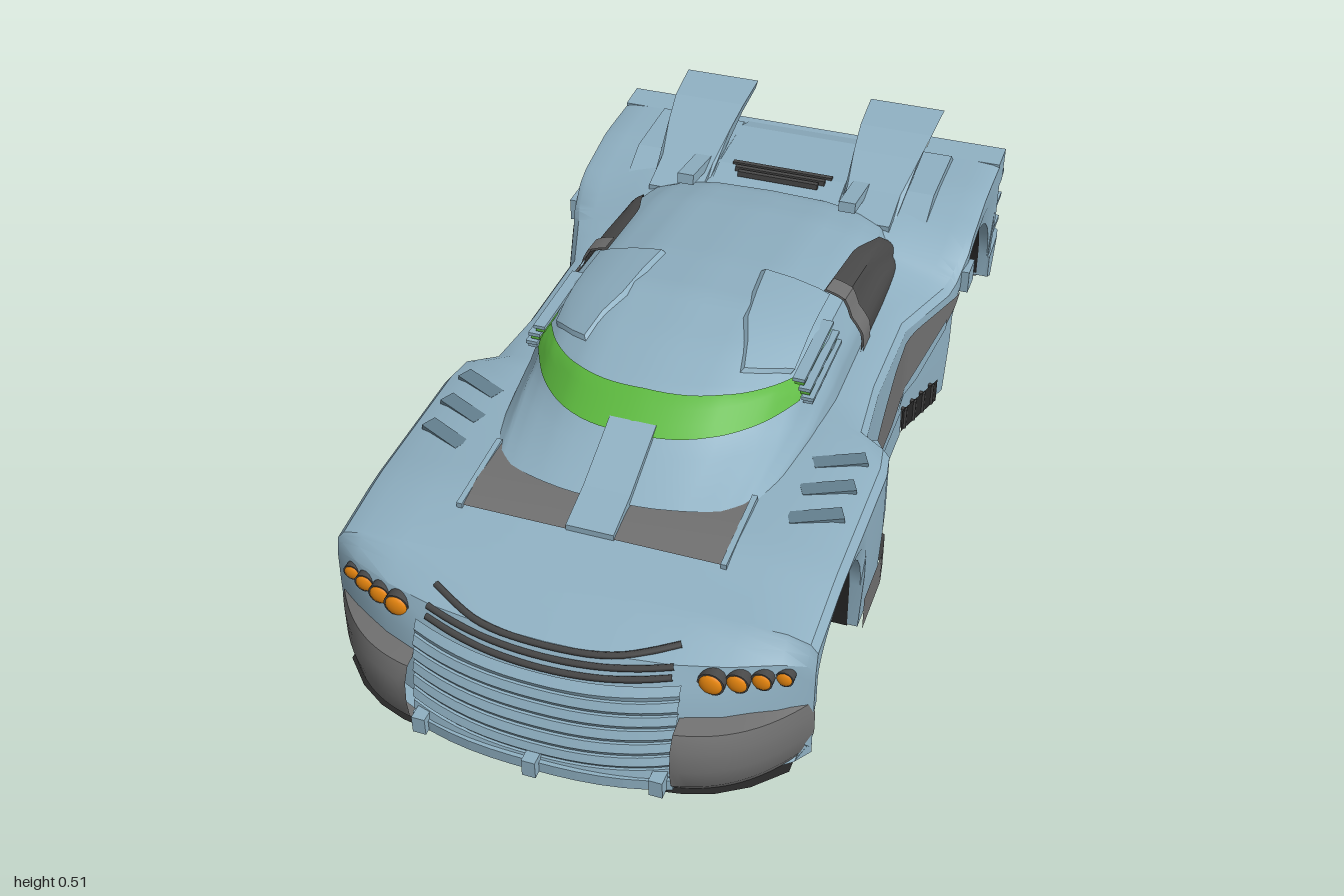
import * as THREE from 'three';
import { toCreasedNormals } from 'three/addons/utils/BufferGeometryUtils.js';

const paint = (color) => new THREE.MeshStandardMaterial({ color, side: THREE.DoubleSide });
const BLUE = paint(0x8fb0c2), SHADE = paint(0x64808f), GREY = paint(0x707070), DARK = paint(0x484848),
  BLACK = paint(0x262626), GREEN = paint(0x5cb83e), AMBER = paint(0xee8a10), RED = paint(0xd03a3a);

// Linear lookup in a table of [key, value] with rising keys
function look(table, k) {
  if (k <= table[0][0]) return table[0][1];
  for (let i = 1; i < table.length; i++) {
    const [a, va] = table[i - 1], [b, vb] = table[i];
    if (k <= b) return va + (vb - va) * (k - a) / (b - a);
  }
  return table[table.length - 1][1];
}

// Skin through rings of points; rings run anticlockwise seen from +z, ordered by rising z
function loft(rings, closed = false) {
  const pos = [], n = rings[0].length;
  const tri = (...p) => p.forEach((q) => pos.push(...q));
  for (let i = 0; i + 1 < rings.length; i++) {
    for (let j = 0; j < (closed ? n : n - 1); j++) {
      const k = (j + 1) % n, a = rings[i], b = rings[i + 1];
      tri(a[j], a[k], b[j]);
      tri(a[k], b[k], b[j]);
    }
  }
  if (closed) [rings[0], rings[rings.length - 1]].forEach((r, end) => {
    const c = [0, 1, 2].map((d) => r.reduce((s, p) => s + p[d], 0) / n);
    for (let j = 0; j < n; j++) end ? tri(c, r[j], r[(j + 1) % n]) : tri(c, r[(j + 1) % n], r[j]);
  });
  const g = new THREE.BufferGeometry();
  g.setAttribute('position', new THREE.Float32BufferAttribute(pos, 3));
  return toCreasedNormals(g, 0.5);
}
const range = (a, b, n) => Array.from({ length: n + 1 }, (_, i) => a + (b - a) * i / n);
const patch = (us, vs, f) => loft(us.map((u) => vs.map((v) => f(u, v))));
const box = (w, h, d, x, y, z, rx = 0, ry = 0) =>
  new THREE.BoxGeometry(w, h, d).rotateX(rx).rotateY(ry).translate(x, y, z);
// Side profile of [z, y] points, extruded from x0 to x1
function sideExtrude(pts, x0, x1) {
  const shape = new THREE.Shape(pts.map(([z, y]) => new THREE.Vector2(-z, y)));
  return new THREE.ExtrudeGeometry(shape, { depth: x1 - x0, bevelEnabled: false }).rotateY(Math.PI / 2).translate(x0, 0, 0);
}
function mirrored(geo) {
  const g = geo.index ? geo.toNonIndexed() : geo.clone();
  g.scale(-1, 1, 1);
  for (const a of Object.values(g.attributes)) for (let i = 0; i < a.count; i += 3) for (let c = 0; c < a.itemSize; c++) {
    const t = a.getComponent(i + 1, c);
    a.setComponent(i + 1, c, a.getComponent(i + 2, c));
    a.setComponent(i + 2, c, t);
  }
  return g;
}

// Hull rules: half width, shoulder height, centre height, underside and nose bow
const WIDTH = [[-0.52, 0.49], [-0.45, 0.48], [-0.25, 0.41], [0, 0.41], [0.16, 0.425], [0.2, 0.485], [0.26, 0.495]];
const NOSE = [[0.765, 0.298], [0.89, 0.258], [0.93, 0.19], [0.96, 0.06]];
const SHOULDER = [[-0.7, 0.41], [-0.55, 0.38], [-0.42, 0.325], [0.2, 0.325], [0.6, 0.32], ...NOSE];
const CENTRE = [[-0.6, 0.41], [-0.5, 0.4], [-0.3, 0.33], [0.2, 0.33], [0.6, 0.337], ...NOSE];
const ARCHES = [{ c: 0.585, r: 0.175, y: 0.12, h: 0.165 }, { c: -0.647, r: 0.203, y: 0.14, h: 0.185 }];
function underside(z) {
  for (const a of ARCHES) {
    const t = (z - a.c) / a.r;
    if (Math.abs(t) < 1.0001) return a.y + a.h * Math.sqrt(Math.max(0, 1 - t * t));
  }
  return z < -0.8 ? 0.08 : 0.004;
}
const bend = (x, z, power = 2.5) =>
  z < 0.765 ? z : 0.765 + (z - 0.765) * (1 - 0.95 * Math.pow(Math.min(1, Math.abs(x) / 0.5), power));
const noseZ = (x, y) => bend(x, look([[0, 0.965], [0.06, 0.96], [0.19, 0.93], [0.258, 0.89], [0.298, 0.77]], y));
const STATIONS = [0.96, 0.945, 0.93, 0.91, 0.89, 0.83, 0.79, 0.765, 0.3, 0.26, 0.2, 0.16, 0.08, 0, -0.12, -0.25, -0.3, -0.35, -0.42, -0.88];
for (const a of ARCHES) {
  STATIONS.push(a.c - a.r - 0.001, a.c + a.r + 0.001);
  for (let i = 0; i <= 14; i++) STATIONS.push(a.c + a.r * Math.cos(Math.PI * i / 14));
}
STATIONS.sort((a, b) => a - b);
function hullRing(z) {
  const w = look(WIDTH, z), b = underside(z), s = look(SHOULDER, z), c = look(CENTRE, z);
  const round = look([[-0.55, 0.008], [-0.42, 0.03]], z), e = Math.max(b, s - round);
  const hem = z > 0.7605 ? 0.945 : 0.985;
  const half = [[0, b], [0.25, b], [0.5, b], [0.7, b], [0.84, b], [0.92, b], [hem, b], [1, (b + e) / 2], [1, e],
    [0.97, s - round * 0.4], [0.88, s], [0.7, (s + c) / 2], [0.5, c], [0.25, c], [0, c]].map(([f, y]) => [f * w, y]);
  const ring = [...half, ...half.slice(1, -1).reverse().map(([x, y]) => [-x, y])];
  return ring.map(([x, y]) => [x, y, bend(x, z)]);
}

// Cabin surface: s runs from 0 at the roof centre to 5 at the base
const ROOF = [[-0.6, 0.38], [-0.53, 0.425], [-0.4, 0.455], [-0.11, 0.495], [0.05, 0.507], [0.2, 0.49], [0.35, 0.453], [0.43, 0.408], [0.57, 0.345]];
const CABIN_W = [[-0.6, 0.2], [-0.56, 0.28], [-0.5, 0.325], [-0.42, 0.338], [0.2, 0.34], [0.45, 0.33], [0.57, 0.3]];
const SWEEP = [[0, 0], [0.2, 0.1], [0.35, 0.17], [0.43, 0.2], [0.57, 0.1]];
const SX = [[0, 0], [1, 0.45], [2, 0.72], [3, 0.86], [4, 0.97], [5, 1]];
const SY = [[0, 1], [1, 0.965], [2, 0.84], [3, 0.71], [4, 0.33], [5, 0]];
function cabin(z, s, out = 0) {
  const x = Math.sign(s) * look(SX, Math.abs(s)) * (look(CABIN_W, z) + out);
  const y = 0.31 + look(SY, Math.abs(s)) * (look(ROOF, z) - 0.31 + out);
  return [x, y, z - look(SWEEP, z) * Math.min(1.15, (Math.abs(x) / 0.3) ** 2.5)];
}

export function createModel() {
  const model = new THREE.Group();
  const add = (name, geo, mat) => {
    const m = new THREE.Mesh(geo, mat);
    m.name = name;
    model.add(m);
  };
  const pair = (name, geo, mat) => {
    add(name + 'Left', geo, mat);
    add(name + 'Right', mirrored(geo), mat);
  };

  // Body shell, dark floor with arch linings, and chassis between the wheel wells
  add('bodyShell', loft(STATIONS.map(hullRing), true), BLUE);
  add('floor', patch(STATIONS, range(-0.94, 0.94, 16), (z, f) => {
    const x = f * look(WIDTH, z);
    return [x, underside(z) - 0.004, bend(x, z, 4.5)];
  }), BLACK);
  add('chassis', sideExtrude([[0.8, 0.004], [0.8, 0.2], [0.65, 0.29], [0.2, 0.3], [-0.4, 0.3], [-0.7, 0.34], [-0.86, 0.3], [-0.86, 0.08], [-0.445, 0.004]], -0.3, 0.3), DARK);

  // Nose: bulging bumper corners, stepped grille, slots, splitter and lamps
  pair('bumperCorner', patch([0, 1, 2, 3, 4, 5, 6], range(0.27, 0.5, 14), (i, x) => {
    const y = [0.001, 0.001, 0.025, 0.07, 0.12, 0.15, 0.158][i];
    const front = [0, 0.945, 0.965, 0.972, 0.968, 0.95, 0][i];
    const widen = [0.94, 0.95, 0.975, 0.995, 0.995, 0.985, 0.96][i];
    return [0.27 + (x - 0.27) / 0.23 * (0.5 * widen - 0.27), y, front ? bend(x, front, 4.5) : noseZ(x, y) - 0.01];
  }), GREY);
  const steps = range(0.02, 0.2, 6).flatMap((y) => [[y, 0.004], [y + 0.012, 0.013], [y + 0.029, 0.009]]);
  add('grille', patch(steps, range(-0.27, 0.27, 16), ([y, d], x) => {
    const h = y - 0.018 * (1 - (x / 0.27) ** 2);
    return [x, h, noseZ(x, h) + d];
  }), BLUE);
  const slot = (y, sag, half) => new THREE.TubeGeometry(new THREE.CatmullRomCurve3(range(-half, half, 10).map((x) => {
    const h = y - sag * (1 - (x / half) ** 2);
    return new THREE.Vector3(x, h, noseZ(x, h));
  })), 24, 0.007, 6);
  [0.236, 0.255, 0.274].forEach((y) => add('noseSlot', slot(y, 0.022, 0.25), DARK));
  const lip = new THREE.Shape([...range(-0.27, 0.27, 12).map((x) => new THREE.Vector2(x, noseZ(x, 0) + 0.017)), new THREE.Vector2(0.27, 0.85), new THREE.Vector2(-0.27, 0.85)]);
  add('splitter', new THREE.ExtrudeGeometry(lip, { depth: 0.025, bevelEnabled: false }).rotateX(Math.PI / 2).translate(0, 0.026, 0), BLUE);
  [-0.245, 0, 0.245].forEach((x) => add('splitterTab', box(0.028, 0.04, 0.05, x, 0.022, noseZ(x, 0) + 0.01), BLUE));
  [[0.32, 0.024], [0.365, 0.021], [0.407, 0.019], [0.445, 0.016]].forEach(([x, r]) => {
    const z = noseZ(x, 0.23);
    pair('lampRim', new THREE.CylinderGeometry(r * 1.12, r * 1.12, 0.03, 16).rotateX(Math.PI / 2).translate(x, 0.23, z - 0.008), DARK);
    pair('headlamp', new THREE.SphereGeometry(r, 16, 10).scale(1, 1, 0.4).translate(x, 0.23, z + 0.005), AMBER);
  });

  // Hood recess, central spine and fender louvres
  add('hoodRecess', patch(range(0.45, 0.655, 3), range(-0.27, 0.27, 2), (z, x) => [x, look(CENTRE, z) + 0.003, z]), GREY);
  add('hoodSpine', sideExtrude([[0.655, 0.337], [0.56, 0.362], [0.41, 0.425], [0.41, 0.38], [0.655, 0.3]], -0.05, 0.05), BLUE);
  pair('hoodRidge', box(0.012, 0.014, 0.2, 0.275, 0.332, 0.56, 0.06), BLUE);
  [0.28, 0.37, 0.46].forEach((z) => pair('fenderLouvre', box(0.11, 0.012, 0.035, 0.4, 0.322, z, 0, 0.45), SHADE));

  // Cabin with visor windscreen, side windows, raised roof panels and side louvres
  add('cabin', loft(range(-0.6, 0.57, 36).map((z) => range(5, -5, 40).map((s) => cabin(z, s))), true), BLUE);
  add('windscreen', patch(range(0, 1, 6), range(3, -3, 40), (u, s) => {
    const end = (Math.abs(s) / 3) ** 3;
    return cabin(0.345 + 0.09 * u - (0.1 - 0.045 * u) * end, s, 0.006);
  }), GREEN);
  const windowTop = [[-0.53, 4.6], [-0.5, 3.8], [-0.44, 3], [-0.33, 2.3], [-0.1, 2.1]];
  const pane = (z0, z1, out) => patch(range(z0, z1, 14), range(0, 1, 10), (z, v) => {
    const top = look(windowTop, z);
    return cabin(z, 4.85 + (top - 4.85) * v, out + 0.006 * Math.abs(Math.sin(v * Math.PI * 2)));
  });
  pair('sideWindow', pane(-0.53, -0.1, 0.004), DARK);
  pair('windowPillar', pane(-0.16, -0.1, 0.009), GREY);
  pair('roofPanel', patch([-0.1, -0.095, 0, 0.1, 0.18, 0.262, 0.268], [0, 0.03, 0.35, 0.7, 0.97, 1], (z, v) => {
    const inner = look([[-0.1, 0.72], [0.1, 0.85], [0.27, 1.2]], z);
    const edge = v === 0 || v === 1 || z === -0.1 || z === 0.268;
    return cabin(z, inner + (2.4 - inner) * v, edge ? 0 : 0.008);
  }), BLUE);
  [[0.307, 0.4], [0.3, 0.422], [0.287, 0.444]].forEach(([x, y], i) => {
    pair('sideLouvre', box(0.02, 0.01, 0.21, x, y, 0.1), i ? GREEN : BLUE);
    pair('louvreFrame', box(0.026, 0.008, 0.22, x, y + 0.009, 0.1), BLUE);
  });

  // Flanks: sills, swept panels, vents, fender teeth and edge brackets
  const flank = (z0, z1, lo, hi, out = 0.005) => patch(range(z0, z1, 24), [0, 0.33, 0.67, 1], (z, v) =>
    [look(WIDTH, z) + out, look(lo, z) + (look(hi, z) - look(lo, z)) * v, z]);
  pair('frontSill', flank(0.1, 0.409, [[0, 0.002]], [[0, 0.085]], 0.003), GREY);
  pair('rearSill', flank(-0.24, 0.1, [[0, 0.004]], [[0, 0.08]], 0.006), BLUE);
  pair('sweptPanel', flank(-0.47, 0.08, [[-0.47, 0.273], [-0.41, 0.21], [-0.3, 0.13], [-0.16, 0.09], [0.08, 0.085]],
    [[-0.47, 0.277], [-0.29, 0.277], [-0.155, 0.25], [-0.07, 0.205], [-0.02, 0.17], [0.08, 0.087]], 0.003), GREY);
  pair('sweptStripe', flank(-0.41, -0.2, [[-0.41, 0.21], [-0.3, 0.13], [-0.2, 0.1]],
    [[-0.41, 0.235], [-0.3, 0.165], [-0.2, 0.104]], 0.006), BLUE);
  pair('sillVent', flank(-0.39, -0.24, [[0, 0.01]], [[0, 0.072]], 0.008), BLACK);
  range(-0.37, -0.26, 3).forEach((z) => pair('ventRib', box(0.014, 0.055, 0.01, look(WIDTH, z) + 0.005, 0.041, z), DARK));
  [0.15, 0.195, 0.24, 0.285].forEach((y) => pair('fenderTooth', box(0.05, 0.018, 0.05, 0.44, y, 0.185, 0, 0.6), BLUE));
  pair('edgeBracket', box(0.022, 0.055, 0.06, 0.491, 0.3, -0.51), BLUE);

  // Rear deck: flared fins on a raised shoulder, exhausts, slats and brackets
  pair('deckShoulder', sideExtrude([[-0.54, 0.38], [-0.63, 0.427], [-0.82, 0.43], [-0.85, 0.4], [-0.85, 0.37]], 0.16, 0.375), BLUE);
  const fin = sideExtrude([[-0.5, 0.4], [-0.6, 0.43], [-0.7, 0.475], [-0.78, 0.5], [-0.89, 0.513], [-0.89, 0.492], [-0.8, 0.47], [-0.74, 0.43], [-0.72, 0.38], [-0.5, 0.37]], 0.17, 0.3);
  const p = fin.attributes.position;
  for (let i = 0; i < p.count; i++) {
    const lift = Math.max(0, p.getY(i) - 0.43) / 0.08;
    p.setX(i, p.getX(i) + (p.getX(i) > 0.25 ? 0.033 : -0.022) * lift);
  }
  fin.computeVertexNormals();
  pair('rearFin', fin, BLUE);
  [0.2, 0.27].forEach((x) => {
    pair('exhaust', new THREE.CylinderGeometry(0.023, 0.023, 0.17, 12).rotateX(Math.PI / 2).translate(x, 0.465, -0.84), BLACK);
    pair('exhaustTip', new THREE.TorusGeometry(0.021, 0.006, 6, 14).translate(x, 0.465, -0.927), DARK);
  });
  add('rearDeck', sideExtrude([[-0.54, 0.4], [-0.62, 0.425], [-0.8, 0.43], [-0.89, 0.4], [-0.89, 0.36], [-0.54, 0.36]], -0.16, 0.16), BLUE);
  [-0.585, -0.605, -0.625].forEach((z, i) => add('deckSlat', box(0.2 + i * 0.025, 0.014, 0.012, 0, 0.424, z), DARK));
  pair('deckBracket', box(0.04, 0.025, 0.14, 0.2, 0.435, -0.55, -0.15), BLUE);

  // Tail: lamp blocks, slats, upright fins and a diffuser with clipped corners
  pair('tailBlock', sideExtrude([[-0.85, 0.41], [-0.925, 0.415], [-0.915, 0.335], [-0.85, 0.335]], 0.3, 0.49), BLUE);
  pair('tailLamp', box(0.17, 0.045, 0.012, 0.395, 0.372, -0.917, -0.12), RED);
  [0.19, 0.26, 0.33].forEach((y) => add('tailSlat', box(0.97, 0.012, 0.1, 0, y, -0.917), BLUE));
  [-0.14, 0, 0.14].forEach((x) => add('tailFin', box(0.012, 0.2, 0.1, x, 0.24, -0.925), BLUE));
  const lower = (x, inset) => [[-0.85, 0.08], [-0.95, 0.06], [-1, 0.15], [-0.86, 0.14]].map(([z, y]) => [x, y, Math.min(-0.85, z + inset)]);
  const ends = [[-0.49, 0.06], [-0.485, 0.03], [-0.46, 0], [0.46, 0], [0.485, 0.03], [0.49, 0.06]];
  add('diffuser', loft(ends.map(([x, inset]) => lower(x, inset).reverse()), true), BLUE);
  return model;
}
